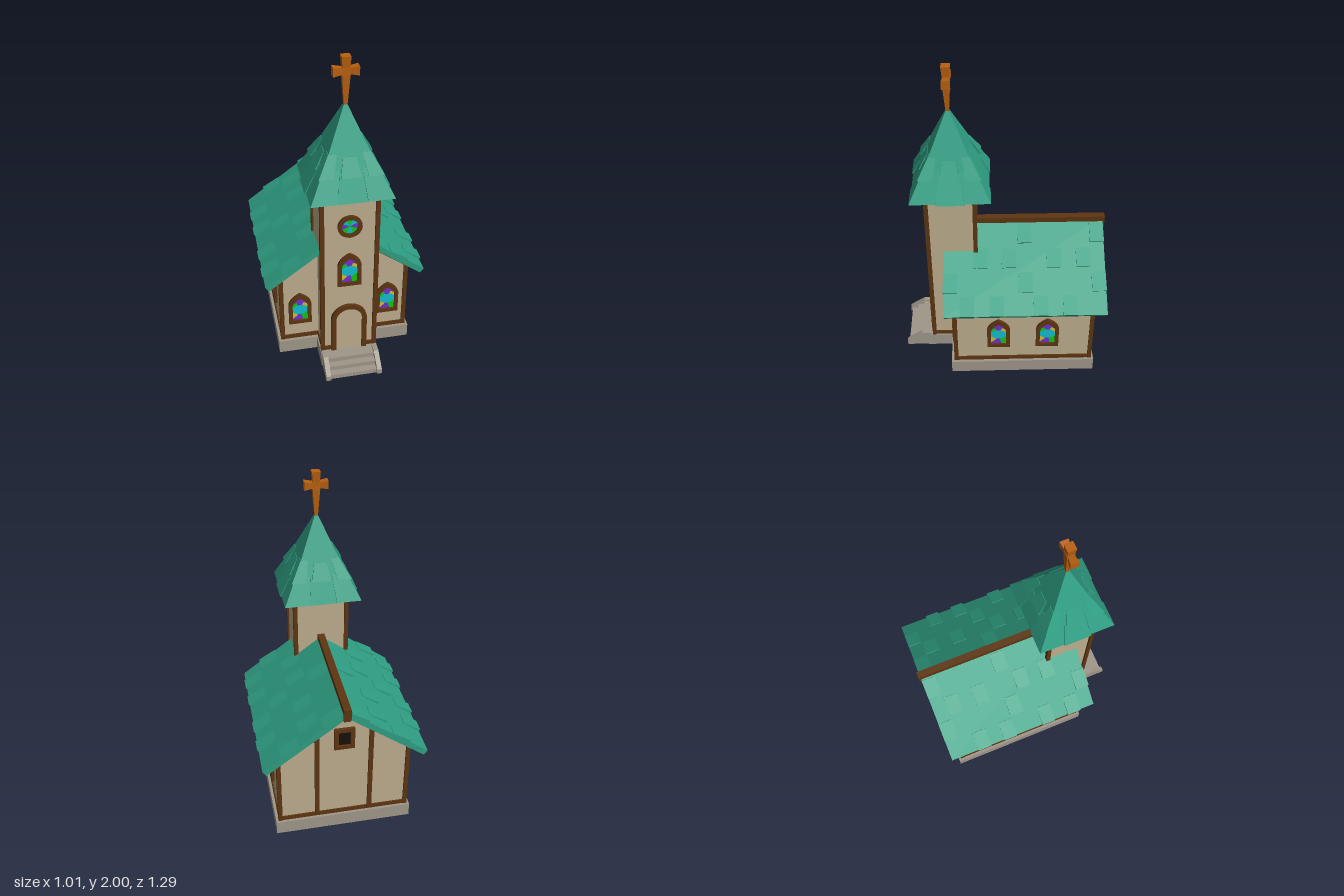
import * as THREE from 'three';

const mat = (name, color) => {
  const m = new THREE.MeshStandardMaterial({ color });
  m.name = name;
  return m;
};

export function createModel() {
  const root = new THREE.Group();
  root.name = 'chapel';
  const plaster = mat('plaster', 0xbdae8e), wood = mat('darkWood', 0x5e3511), tile = mat('roofGreen', 0x2f9f83);
  const stone = mat('stone', 0xa0978a), copper = mat('copper', 0xb8600f), dark = mat('ventDark', 0x180f0a);
  const purple = mat('purpleGlass', 0x7030d0), cyan = mat('cyanGlass', 0x12bfd0);
  const green = mat('greenGlass', 0x12c614), yellow = mat('yellowGlass', 0xd6c022);

  const add = (name, geo, m, parent = root) => {
    const mesh = new THREE.Mesh(geo, m);
    mesh.name = name;
    parent.add(mesh);
    return mesh;
  };
  // box given by its limits
  const box = (name, m, x0, x1, y0, y1, z0, z1, parent) => {
    const b = add(name, new THREE.BoxGeometry(x1 - x0, y1 - y0, z1 - z0), m, parent);
    b.position.set((x0 + x1) / 2, (y0 + y1) / 2, (z0 + z1) / 2);
    return b;
  };
  // box whose corners are moved by a rule of their signs
  const hexa = (name, m, rule, parent) => {
    const g = new THREE.BoxGeometry(2, 2, 2), p = g.attributes.position;
    for (let i = 0; i < p.count; i++) p.setXYZ(i, ...rule(p.getX(i), p.getY(i), p.getZ(i)));
    g.computeVertexNormals();
    return add(name, g, m, parent);
  };
  const shapeOf = pts => new THREE.Shape(pts.map(p => new THREE.Vector2(p[0], p[1])));
  const extrude = (name, m, shape, z0, z1, parent) => {
    const g = new THREE.ExtrudeGeometry(shape, { depth: z1 - z0, bevelEnabled: false, curveSegments: 10 });
    g.translate(0, 0, z0);
    return add(name, g, m, parent);
  };

  // stone base and steps
  box('mainBase', stone, -0.425, 0.425, 0, 0.09, -0.585, 0.338);
  box('towerBase', stone, -0.18, 0.18, 0, 0.09, 0.33, 0.505);
  for (let i = 0; i < 3; i++) box('step', stone, -0.146, 0.146, 0, 0.03 * (i + 1), 0.5, 0.632 - 0.042 * i);
  for (const s of [-1, 1]) {
    const cheek = extrude('stepCheek', stone,
      shapeOf([[0.48, 0], [0.645, 0], [0.645, 0.035], [0.545, 0.102], [0.48, 0.102]]), -0.015, 0.015);
    cheek.rotation.y = -Math.PI / 2;
    cheek.position.x = s * 0.161;
  }

  // nave walls and timber frame
  extrude('naveWalls', plaster,
    shapeOf([[-0.4, 0.08], [0.4, 0.08], [0.4, 0.594], [0, 0.892], [-0.4, 0.594]]), -0.56, 0.31);
  box('naveSill', wood, -0.408, 0.408, 0.09, 0.118, -0.568, 0.318);
  for (const s of [-1, 1]) {
    for (const z of [0.32, -0.545]) box('cornerPost', wood, Math.min(s * 0.41, s * 0.384), Math.max(s * 0.41, s * 0.384), 0.09, 0.58, z - 0.026, z);
    box('rearPost', wood, s * 0.165 - 0.014, s * 0.165 + 0.014, 0.1, 0.765, -0.571, -0.55);
  }
  for (const z of [-0.571, 0.3]) {
    extrude('gableTrim', wood,
      shapeOf([[-0.41, 0.556], [0, 0.861], [0.41, 0.556], [0.41, 0.588], [0, 0.893], [-0.41, 0.588]]), z, z + 0.021);
  }

  // nave roof with raised shingles
  extrude('naveRoof', tile,
    shapeOf([[-0.497, 0.567], [-0.475, 0.537], [0, 0.89], [0.475, 0.537], [0.497, 0.567], [0, 0.935]]), -0.632, 0.368);
  const shingleRows = [
    [0.497, [-0.45, -0.27, 0, 0.182]],
    [0.38, [-0.633, -0.18, 0.284]],
    [0.256, [-0.542, -0.36, -0.08, 0.095]],
    [0.13, [-0.633, -0.18]],
  ];
  for (const side of [-1, 1]) for (const [low, starts] of shingleRows) for (const z of starts) {
    hexa('roofShingle', tile, (sx, sy, sz) => {
      const lower = sx * side > 0;
      const x = lower ? low : low - 0.1;
      const lift = sy < 0 ? -0.008 : lower ? 0.014 : 0.003;
      return [side * (x + 0.595 * lift), 0.935 - 0.74 * x + 0.804 * lift, z + (sz > 0 ? 0.088 : 0)];
    });
  }
  box('ridgeBeam', wood, -0.022, 0.022, 0.915, 0.955, -0.645, 0.17);
  box('ridgeEnd', wood, -0.022, 0.022, 0.875, 0.955, -0.645, -0.631);

  // tower
  box('towerWalls', plaster, -0.165, 0.165, 0.08, 1.26, 0.165, 0.458);
  box('towerSill', wood, -0.172, 0.172, 0.09, 0.118, 0.3, 0.467);
  for (const s of [-1, 1]) for (const z of [0.155, 0.446]) {
    box('towerPost', wood, s * 0.164 - 0.013, s * 0.164 + 0.013, 0.09, 1.25, z, z + 0.026);
  }

  // spire
  const spire = new THREE.Group();
  spire.name = 'spire';
  spire.position.z = 0.31;
  root.add(spire);
  const cone = new THREE.ConeGeometry(0.226 * Math.SQRT2, 0.515, 4).toNonIndexed();
  cone.computeVertexNormals();
  cone.rotateY(Math.PI / 4);
  add('spireCore', cone, tile, spire).position.y = 1.23 + 0.515 / 2;
  const half = y => 0.226 * (1.745 - y) / 0.515;
  for (let k = 0; k < 4; k++) {
    const face = new THREE.Group();
    face.name = 'spireFace';
    face.rotation.y = k * Math.PI / 2;
    spire.add(face);
    // a shingle on the face, wedge-shaped; side 0 is the middle, otherwise a corner
    const plate = (side, y0, y1, w0, w1, lift) => hexa('spireShingle', tile, (sx, sy, sz) => {
      const y = sy < 0 ? y0 : y1;
      const out = half(y) + (sy < 0 ? lift : 0.003);
      const w = sy < 0 ? w0 : w1;
      const x = side === 0 ? sx * w : side * (sx * side > 0 ? out : w);
      return [x, y, sz > 0 ? out : half(y) - 0.012];
    }, face);
    plate(0, 1.225, 1.39, 0.085, 0.063, k % 2 ? 0.02 : 0.006);
    plate(0, 1.358, 1.46, 0.058, 0.038, 0.013);
    for (const s of [-1, 1]) {
      plate(s, 1.23, 1.4, 0.085, 0.066, 0.014);
      plate(s, 1.36, 1.48, 0.098, 0.072, 0.017);
    }
  }

  // flared cross
  const flare = (name, y0, y1, r0, r1) => hexa(name, copper, (sx, sy, sz) => {
    const r = sy < 0 ? r0 : r1;
    return [sx * r, sy < 0 ? y0 : y1, sz * r];
  }, spire);
  flare('crossShaft', 1.715, 1.895, 0.01, 0.023);
  flare('crossCentre', 1.89, 1.935, 0.023, 0.023);
  flare('crossTop', 1.935, 2, 0.021, 0.026);
  for (const s of [-1, 1]) hexa('crossArm', copper, (sx, sy, sz) => {
    const outer = sx * s > 0, r = outer ? 0.026 : 0.017;
    return [s * (outer ? 0.073 : 0.015), 1.915 + sy * r, sz * r];
  }, spire);

  // pointed arch outline, base at y = 0
  const lancet = (w, y0, spring, top, Type = THREE.Shape) => {
    const s = new Type();
    s.moveTo(-w, y0);
    s.lineTo(w, y0);
    s.lineTo(w, spring);
    s.quadraticCurveTo(w * 0.9, spring + (top - spring) * 0.6, 0, top);
    s.quadraticCurveTo(-w * 0.9, spring + (top - spring) * 0.6, -w, spring);
    s.closePath();
    return s;
  };
  const place = (name, x, y, z, turn = 0) => {
    const g = new THREE.Group();
    g.name = name;
    g.position.set(x, y, z);
    g.rotation.y = turn;
    root.add(g);
    return g;
  };
  const pane = (m, pts, g, z = 0.008) => {
    add('glassPane', new THREE.ShapeGeometry(shapeOf(pts)), m, g).position.z = z;
  };
  const archWindow = (x, y, z, turn) => {
    const g = place('archedWindow', x, y, z, turn);
    const frame = lancet(0.072, 0, 0.15, 0.234);
    frame.holes.push(lancet(0.048, 0.025, 0.142, 0.198, THREE.Path));
    extrude('windowFrame', wood, frame, -0.01, 0.018, g);
    add('glass', new THREE.ShapeGeometry(lancet(0.05, 0.02, 0.142, 0.2)), purple, g).position.z = 0.005;
    pane(green, [[-0.048, 0.11], [0, 0.11], [-0.022, 0.162], [-0.046, 0.15]], g);
    pane(yellow, [[0, 0.11], [0.048, 0.11], [0.046, 0.15], [0.022, 0.162]], g);
    pane(yellow, [[-0.048, 0.035], [-0.018, 0.06], [0, 0.11], [-0.048, 0.11]], g);
    pane(green, [[0.018, 0.025], [0.048, 0.025], [0.048, 0.11], [0, 0.11], [0.012, 0.05]], g);
    pane(cyan, [[-0.047, 0.09], [-0.02, 0.072], [0.02, 0.072], [0.047, 0.09],
      [0.047, 0.125], [0.02, 0.143], [-0.02, 0.143], [-0.047, 0.125]], g, 0.011);
  };
  archWindow(0, 0.593, 0.458, 0);
  for (const s of [-1, 1]) {
    archWindow(s * 0.282, 0.215, 0.31, 0);
    for (const z of [0.033, -0.278]) archWindow(s * 0.4, 0.215, z, s * Math.PI / 2);
  }

  // round window
  const rose = place('roundWindow', 0, 1.02, 0.458);
  const ring = new THREE.Shape().absarc(0, 0, 0.073, 0, Math.PI * 2);
  ring.holes.push(new THREE.Path().absarc(0, 0, 0.049, 0, Math.PI * 2));
  extrude('roundFrame', wood, ring, -0.01, 0.018, rose);
  [purple, cyan, green, cyan, purple, green, cyan, green].forEach((m, i) => {
    add('rosePane', new THREE.CircleGeometry(0.051, 4, (i - 0.5) * Math.PI / 4, Math.PI / 4), m, rose).position.z = 0.006;
  });

  // doorway with a round arch
  const arch = (r, top, Type) => {
    const s = new Type();
    s.moveTo(-r, 0.09);
    s.lineTo(r, 0.09);
    s.lineTo(r, top - r);
    s.absarc(0, top - r, r, 0, Math.PI);
    s.closePath();
    return s;
  };
  const doorFrame = arch(0.112, 0.44, THREE.Shape);
  doorFrame.holes.push(arch(0.082, 0.412, THREE.Path));
  extrude('doorFrame', wood, doorFrame, 0.44, 0.481);
  extrude('door', plaster, arch(0.085, 0.415, THREE.Shape), 0.45, 0.469);

  // rear vent
  const vent = place('rearVent', 0, 0.69, -0.56, Math.PI);
  const ventFrame = shapeOf([[-0.062, -0.075], [0.062, -0.075], [0.062, 0.075], [-0.062, 0.075]]);
  ventFrame.holes.push(new THREE.Path([[-0.036, -0.05], [-0.036, 0.05], [0.036, 0.05], [0.036, -0.05]].map(p => new THREE.Vector2(...p))));
  extrude('ventFrame', wood, ventFrame, -0.01, 0.018, vent);
  box('ventOpening', dark, -0.04, 0.04, -0.055, 0.055, 0, 0.005, vent);

  return root;
}
